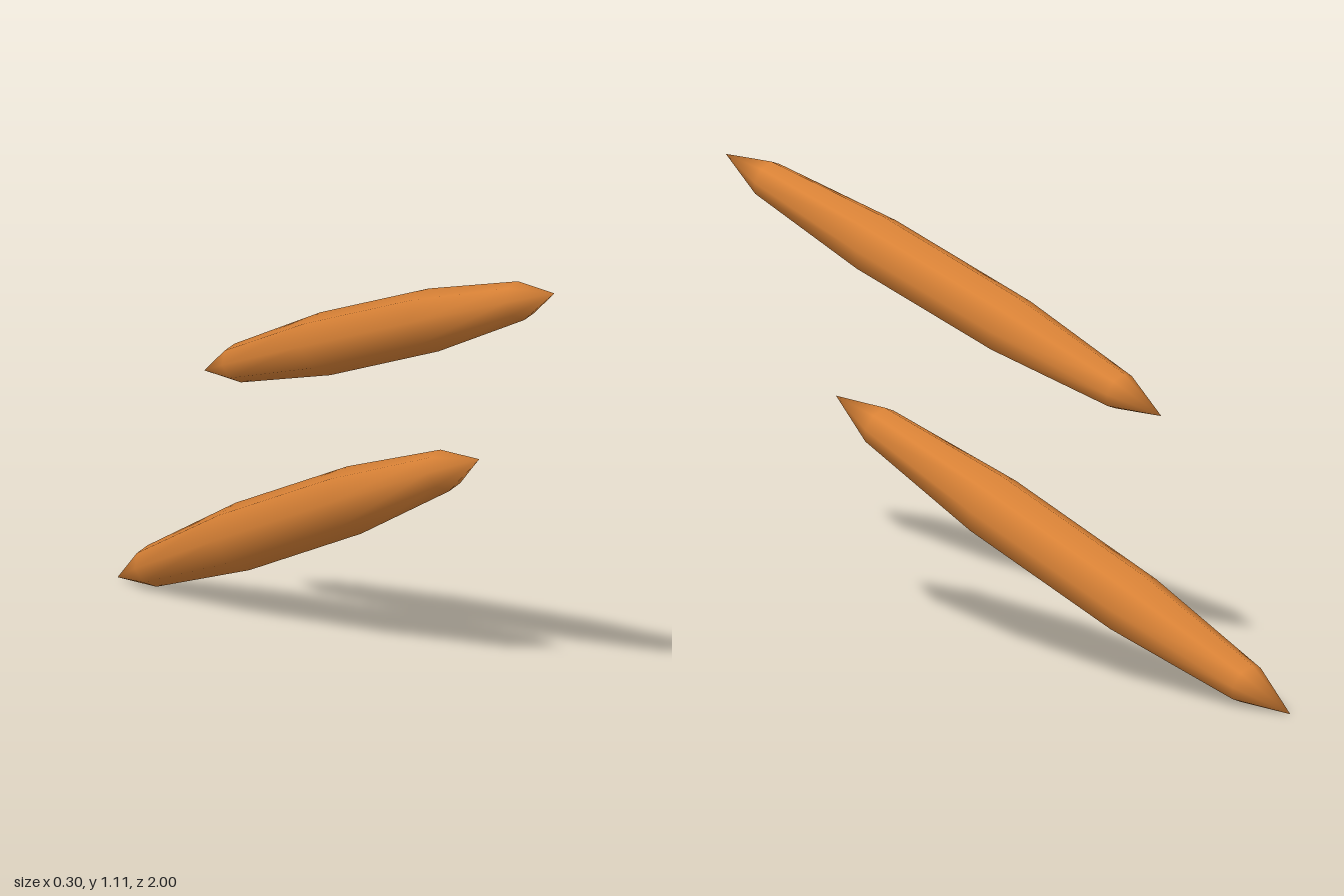
import * as THREE from 'three';

const orange = new THREE.MeshStandardMaterial({ color: 0xd98236 });
orange.name = 'orange';

// Slender low-poly ellipsoid stretched between two tips
function spindle(name, back, front, slenderness = 0.1107) {
  const axis = new THREE.Vector3().subVectors(front, back);
  const half = axis.length() / 2;
  const mesh = new THREE.Mesh(new THREE.SphereGeometry(1, 8, 5), orange);
  mesh.name = name;
  mesh.scale.set(half * slenderness, half, half * slenderness);
  mesh.position.addVectors(back, front).multiplyScalar(0.5);
  mesh.quaternion.setFromUnitVectors(new THREE.Vector3(0, 1, 0), axis.normalize());
  return mesh;
}

export function createModel() {
  const model = new THREE.Group();
  model.name = 'spindlePair';
  model.add(
    spindle('upperSpindle', new THREE.Vector3(-0.087, 0.653, -0.435), new THREE.Vector3(-0.045, 1.107, 1)),
    spindle('lowerSpindle', new THREE.Vector3(0.053, 0.003, -1), new THREE.Vector3(0.066, 0.582, 0.525))
  );
  return model;
}
